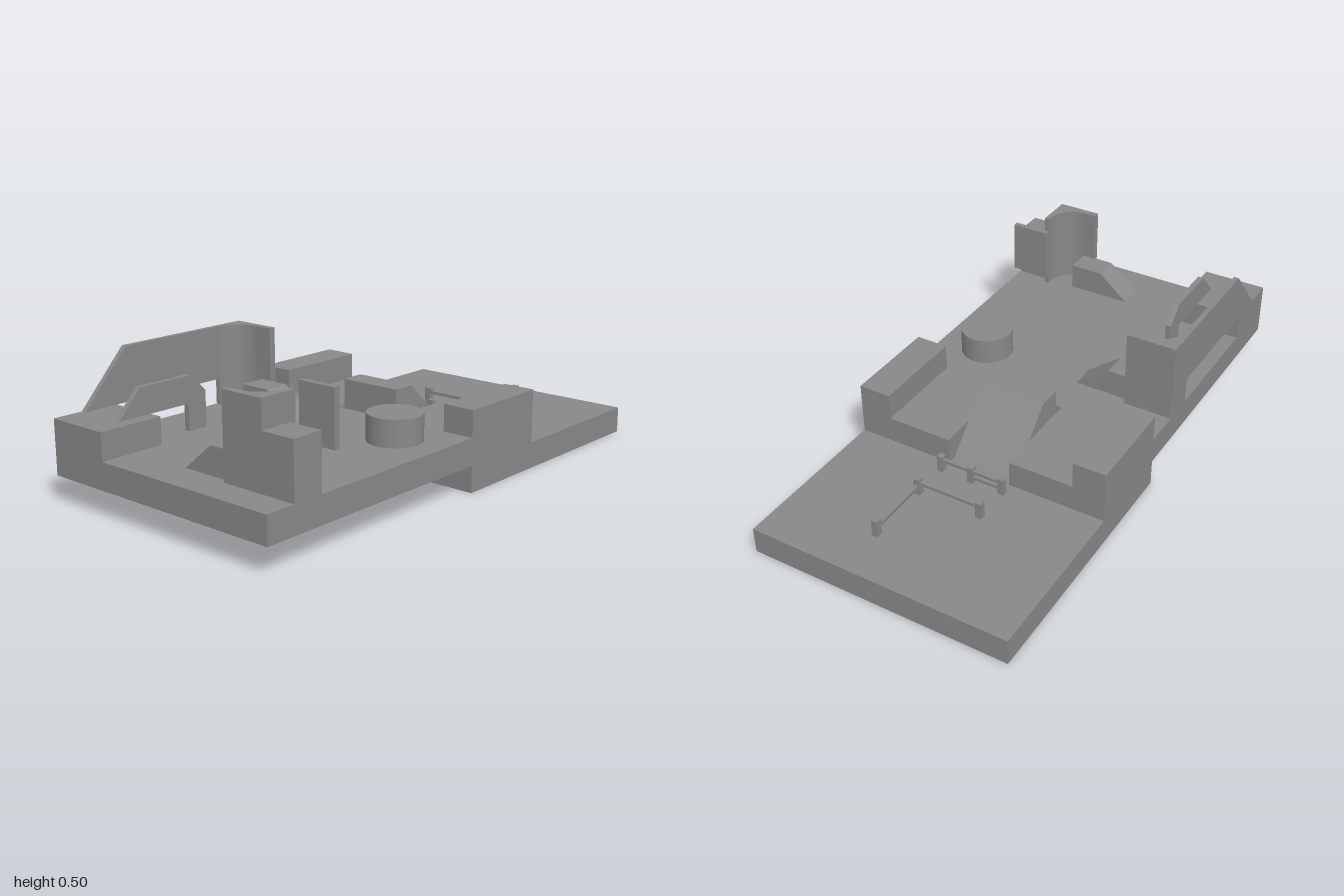
import * as THREE from 'three';
import { toCreasedNormals } from 'three/addons/utils/BufferGeometryUtils.js';

export function createModel() {
  const group = new THREE.Group();
  const concrete = new THREE.MeshStandardMaterial({ color: 0x888888 });

  const add = (name, geometry) => {
    const mesh = new THREE.Mesh(geometry, concrete);
    mesh.name = name;
    group.add(mesh);
    return mesh;
  };

  // Box given by its ranges on each axis
  const block = (name, [x0, x1], [y0, y1], [z0, z1]) => {
    const mesh = add(name, new THREE.BoxGeometry(x1 - x0, y1 - y0, z1 - z0));
    mesh.position.set((x0 + x1) / 2, (y0 + y1) / 2, (z0 + z1) / 2);
  };

  const extrude = (shape, depth) => toCreasedNormals(
    new THREE.ExtrudeGeometry(shape, { depth, bevelEnabled: false, curveSegments: 20 }), 0.5);
  const polygon = (points) => new THREE.Shape(points.map(([a, b]) => new THREE.Vector2(a, b)));

  // Outline in x and y, extruded along z
  const frontProfile = (name, points, z0, z1) =>
    add(name, extrude(polygon(points), z1 - z0).translate(0, 0, z0));

  // Outline in -z and y, extruded along x
  const sideProfile = (name, points, x0, x1) =>
    add(name, extrude(polygon(points.map(([z, y]) => [-z, y])), x1 - x0)
      .rotateY(Math.PI / 2).translate(x0, 0, 0));

  // Plan outline in x and -z, extruded upwards
  const planProfile = (name, shape, y0, y1) =>
    add(name, extrude(shape, y1 - y0).rotateX(-Math.PI / 2).translate(0, y0, 0));

  // Two floor levels
  block('lowerFloor', [0, 1], [0, 0.1], [-0.5, 0.5]);
  block('upperFloor', [-1, 0], [0.1, 0.2], [-0.5, 0.5]);

  // Landing on both sides of the central ramp
  for (const s of [-1, 1]) {
    const span = (a, b) => [Math.min(s * a, s * b), Math.max(s * a, s * b)];
    block('landing', [0, 0.37], [0.1, 0.2], span(0.125, 0.375));
    block('landingBlock', [0, 0.37], [0.1, 0.3], span(0.375, 0.5));
  }
  frontProfile('centralRamp', [[0.04, 0.1], [0.335, 0.1], [0.133, 0.3], [0.04, 0.3]], -0.125, 0.125);

  // Small ramps on the upper floor
  sideProfile('backRamp', [[-0.1, 0.2], [-0.23, 0.3], [-0.355, 0.3], [-0.355, 0.2]], -0.265, -0.165);
  sideProfile('frontRamp', [[0.25, 0.2], [0.25, 0.3], [0.12, 0.3], [0, 0.2]], -0.865, -0.765);

  // Round pedestal
  add('pedestal', new THREE.CylinderGeometry(0.1, 0.1, 0.1, 48)).position.set(-0.19, 0.25, 0.31);

  // Corner blocks
  block('backCornerBlock', [-1, -0.75], [0.2, 0.3], [-0.5, -0.25]);
  block('frontBlock', [-0.885, -0.765], [0.2, 0.4], [0.37, 0.5]);

  // Front wall with a hollow rounded corner
  const frontCorner = polygon([[-0.885, -0.37], [-0.885, -0.2], [-0.86, -0.2], [-0.86, -0.25]]);
  frontCorner.absarc(-0.76, -0.25, 0.1, Math.PI, Math.PI * 1.5, false);
  frontCorner.lineTo(-0.74, -0.35);
  frontCorner.lineTo(-0.74, -0.37);
  planProfile('frontCurvedWall', frontCorner, 0.2, 0.5);

  // Back wall with a rounded corner, carried over an opening
  const backCorner = polygon([[-0.265, 0.5], [-0.265, 0.48]]);
  backCorner.absarc(-0.265, 0.38, 0.1, Math.PI / 2, 0, true);
  backCorner.lineTo(-0.165, 0.31);
  backCorner.lineTo(-0.14, 0.31);
  backCorner.lineTo(-0.14, 0.5);
  planProfile('backCurvedWall', backCorner, 0.2, 0.5);
  frontProfile('backWall', [[-0.885, 0.3], [-0.265, 0.3], [-0.265, 0.5], [-0.7, 0.5]], -0.5, -0.48);

  // Free-standing wall with a leg and a raised panel
  frontProfile('bridgeWall', [[-0.885, 0.3], [-0.58, 0.3], [-0.58, 0.2], [-0.5, 0.2],
    [-0.5, 0.335], [-0.565, 0.4], [-0.79, 0.4]], -0.322, -0.3);
  block('raisedPanel', [-0.652, -0.63], [0.3, 0.5], [0.3, 0.45]);

  // Low railings
  for (const [x, z] of [[0.418, -0.125], [0.418, 0], [0.418, 0.125],
    [0.562, -0.125], [0.562, 0.125], [0.81, 0.125]]) {
    block('railPost', [x - 0.012, x + 0.012], [0.1, 0.165], [z - 0.012, z + 0.012]);
  }
  for (const x of [0.418, 0.562]) {
    block('railBar', [x - 0.006, x + 0.006], [0.14, 0.152], [-0.125, 0.125]);
  }
  block('lowRailBar', [0.412, 0.424], [0.115, 0.127], [-0.125, 0]);
  block('frontRailBar', [0.562, 0.81], [0.125, 0.14], [0.119, 0.131]);

  return group;
}
